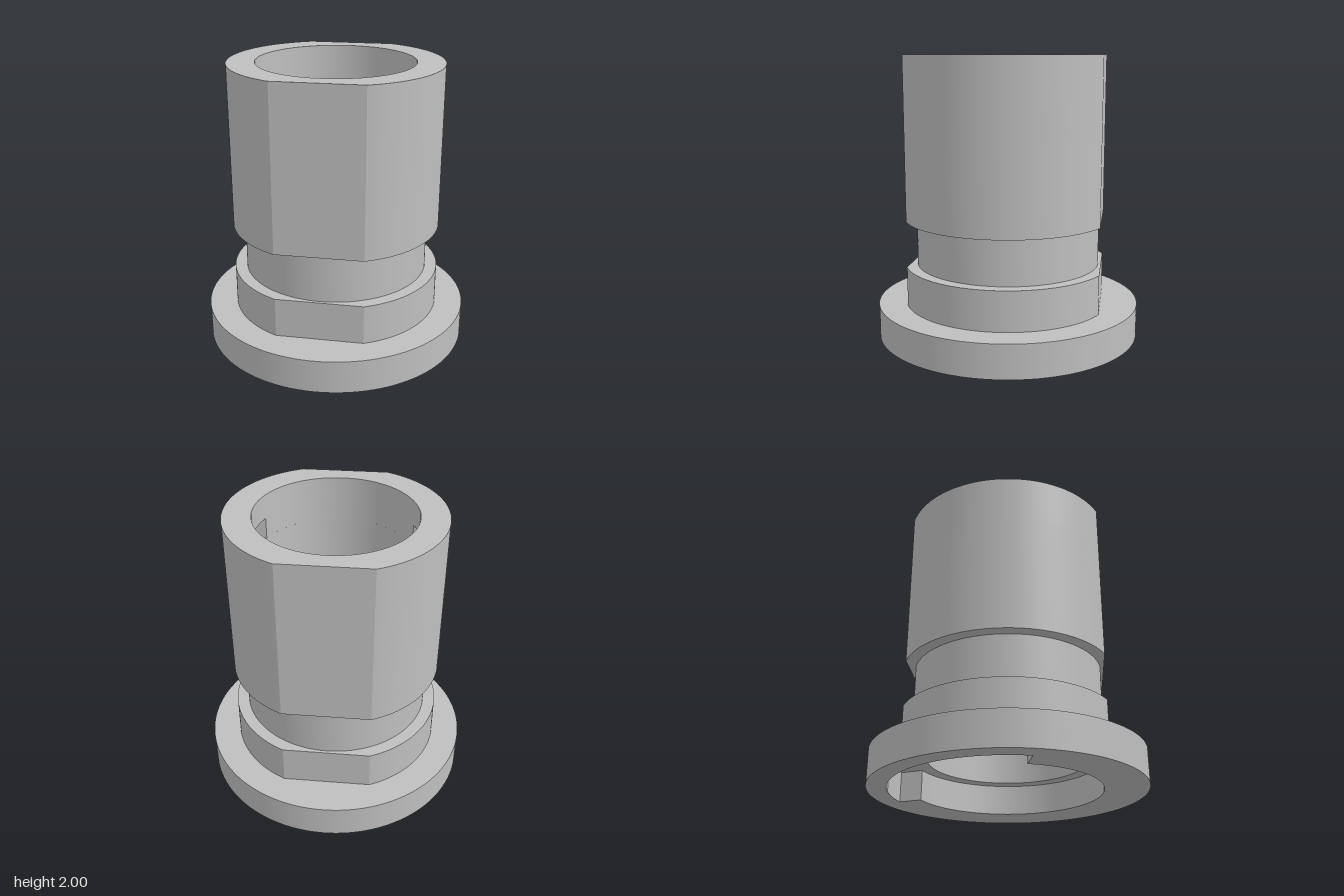
import * as THREE from 'three';
import { toCreasedNormals } from 'three/addons/utils/BufferGeometryUtils.js';

const FLANGE_R = 0.938, BODY_R = 0.74, GROOVE_R = 0.655, BORE_R = 0.547;
const FLAT = 0.676;                  // distance of the two flats from the axis
const SLOT_X = 0.595, SLOT_Z = 0.21; // half sizes of the cross slot in the bore

const circle = (r) => new THREE.Shape().absarc(0, 0, r, 0, Math.PI * 2, false);

// Round body with a flat on the front and the back
function flattedCircle() {
  const a = Math.asin(FLAT / BODY_R);
  const s = new THREE.Shape();
  s.absarc(0, 0, BODY_R, -a, a, false);
  s.absarc(0, 0, BODY_R, Math.PI - a, Math.PI + a, false);
  s.closePath();
  return s;
}

// Underside recess: wider over a 120 degree sector
function recessOutline() {
  const rad = THREE.MathUtils.degToRad;
  const s = new THREE.Shape();
  s.absarc(0, 0, 0.803, rad(75), rad(195), false);
  s.absarc(0, 0, 0.64, rad(195), rad(435), false);
  s.closePath();
  return s;
}

// Bore with a square-ended pocket on the left and right
function slottedBore() {
  const a = Math.asin(SLOT_Z / BORE_R);
  const s = new THREE.Shape();
  s.moveTo(SLOT_X, -SLOT_Z);
  s.lineTo(SLOT_X, SLOT_Z);
  s.absarc(0, 0, BORE_R, a, Math.PI - a, false);
  s.lineTo(-SLOT_X, SLOT_Z);
  s.lineTo(-SLOT_X, -SLOT_Z);
  s.absarc(0, 0, BORE_R, Math.PI + a, Math.PI * 2 - a, false);
  s.closePath();
  return s;
}

export function createModel() {
  const group = new THREE.Group();
  group.name = 'flangedBushing';
  const grey = new THREE.MeshStandardMaterial({ color: 0xbfbfbf });
  grey.name = 'grey';

  // Ring between two heights, from an outline and a hole
  function ring(name, outline, hole, y0, y1) {
    outline.holes.push(hole);
    let geo = new THREE.ExtrudeGeometry(outline, {
      depth: y1 - y0, bevelEnabled: false, curveSegments: 96,
    });
    geo.rotateX(-Math.PI / 2);
    geo.translate(0, y0, 0);
    geo = toCreasedNormals(geo, 0.3);
    const mesh = new THREE.Mesh(geo, grey);
    mesh.name = name;
    group.add(mesh);
  }

  ring('flangeWithRecess', circle(FLANGE_R), recessOutline(), 0, 0.21);
  ring('flangeTop', circle(FLANGE_R), circle(BORE_R), 0.21, 0.237);
  ring('lowerCollar', flattedCircle(), circle(BORE_R), 0.237, 0.517);
  ring('groove', circle(GROOVE_R), circle(BORE_R), 0.517, 0.848);
  ring('body', flattedCircle(), circle(BORE_R), 0.848, 1.68);
  ring('slottedBody', flattedCircle(), slottedBore(), 1.68, 1.83);
  ring('bodyRim', flattedCircle(), circle(BORE_R), 1.83, 2);

  return group;
}
